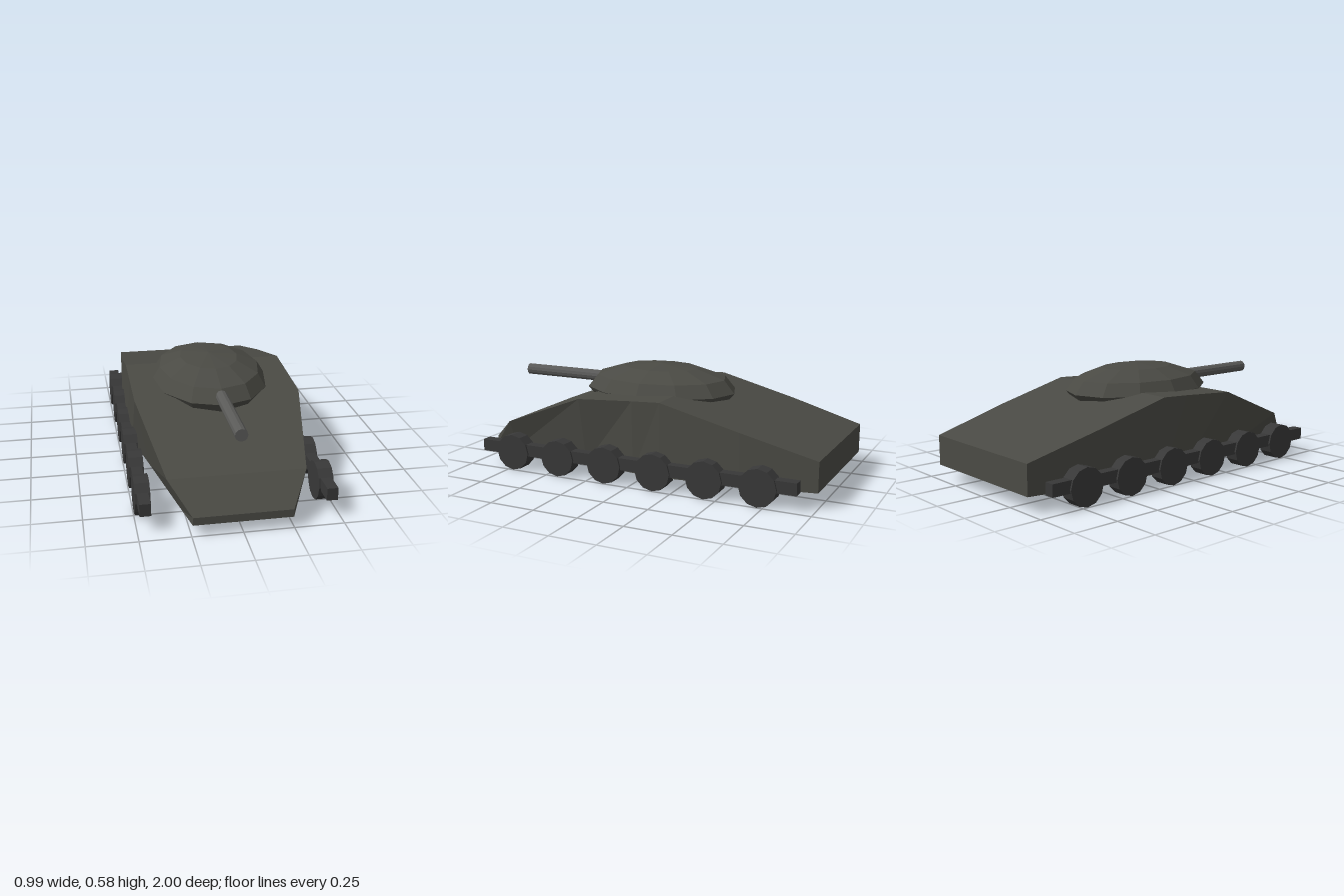
import * as THREE from 'three';

const paint = (color) => new THREE.MeshStandardMaterial({ color, flatShading: true });

// Hull stations, nose to tail: z, top half width, bottom half width, top y, bottom y
const STATIONS = [
  [1.0, 0.245, 0.245, 0.10, 0.06],
  [0.84, 0.345, 0.275, 0.23, 0.06],
  [0.32, 0.44, 0.37, 0.432, 0.06],
  [0.0, 0.44, 0.43, 0.452, 0.06],
  [-0.16, 0.44, 0.44, 0.46, 0.06],
  [-0.6, 0.432, 0.432, 0.35, 0.073],
  [-1.0, 0.40, 0.40, 0.245, 0.085],
];

function hullGeometry() {
  const pos = [];
  const index = [];
  for (const [z, wt, wb, yt, yb] of STATIONS) {
    pos.push(wt, yt, z, -wt, yt, z, -wb, yb, z, wb, yb, z);
  }
  const quad = (a, b, c, d) => index.push(a, b, c, a, c, d);
  const last = (STATIONS.length - 1) * 4;
  for (let s = 0; s < last; s += 4) {
    for (let i = 0; i < 4; i++) {
      const j = (i + 1) % 4;
      quad(s + i, s + 4 + i, s + 4 + j, s + j);
    }
  }
  // nose and tail plates
  quad(0, 1, 2, 3);
  quad(last + 3, last + 2, last + 1, last);
  const g = new THREE.BufferGeometry();
  g.setAttribute('position', new THREE.Float32BufferAttribute(pos, 3));
  g.setIndex(index);
  const flat = g.toNonIndexed();
  flat.computeVertexNormals();
  return flat;
}

export function createModel() {
  const model = new THREE.Group();
  model.name = 'tank';
  const bodyPaint = paint(0x4a4a44);
  const gearPaint = paint(0x383838);
  const gunPaint = paint(0x5a5a58);

  const add = (name, geometry, material, parent = model) => {
    const mesh = new THREE.Mesh(geometry, material);
    mesh.name = name;
    parent.add(mesh);
    return mesh;
  };

  add('hull', hullGeometry(), bodyPaint);

  // Flattened faceted dome
  const turret = add('turret', new THREE.SphereGeometry(1, 12, 6), bodyPaint);
  turret.scale.set(0.315, 0.138, 0.44);
  turret.position.set(0, 0.44, 0.04);

  const barrel = add('gunBarrel', new THREE.CylinderGeometry(0.032, 0.032, 0.56, 12).rotateX(Math.PI / 2), gunPaint);
  barrel.position.set(0, 0.47, 0.64);

  // Running gear: a beam with six wheels on each side
  const wheelGeometry = new THREE.CylinderGeometry(0.1, 0.1, 0.076, 12).rotateZ(Math.PI / 2);
  const beamGeometry = new THREE.BoxGeometry(0.056, 0.065, 1.84);
  for (const side of [1, -1]) {
    const gear = new THREE.Group();
    gear.name = side > 0 ? 'leftRunningGear' : 'rightRunningGear';
    model.add(gear);
    add('trackBeam', beamGeometry, gearPaint, gear).position.set(side * 0.459, 0.118, 0);
    for (let i = 0; i < 6; i++) {
      add('roadWheel', wheelGeometry, gearPaint, gear).position.set(side * 0.459, 0.1, 0.72 - i * 0.288);
    }
  }
  return model;
}
